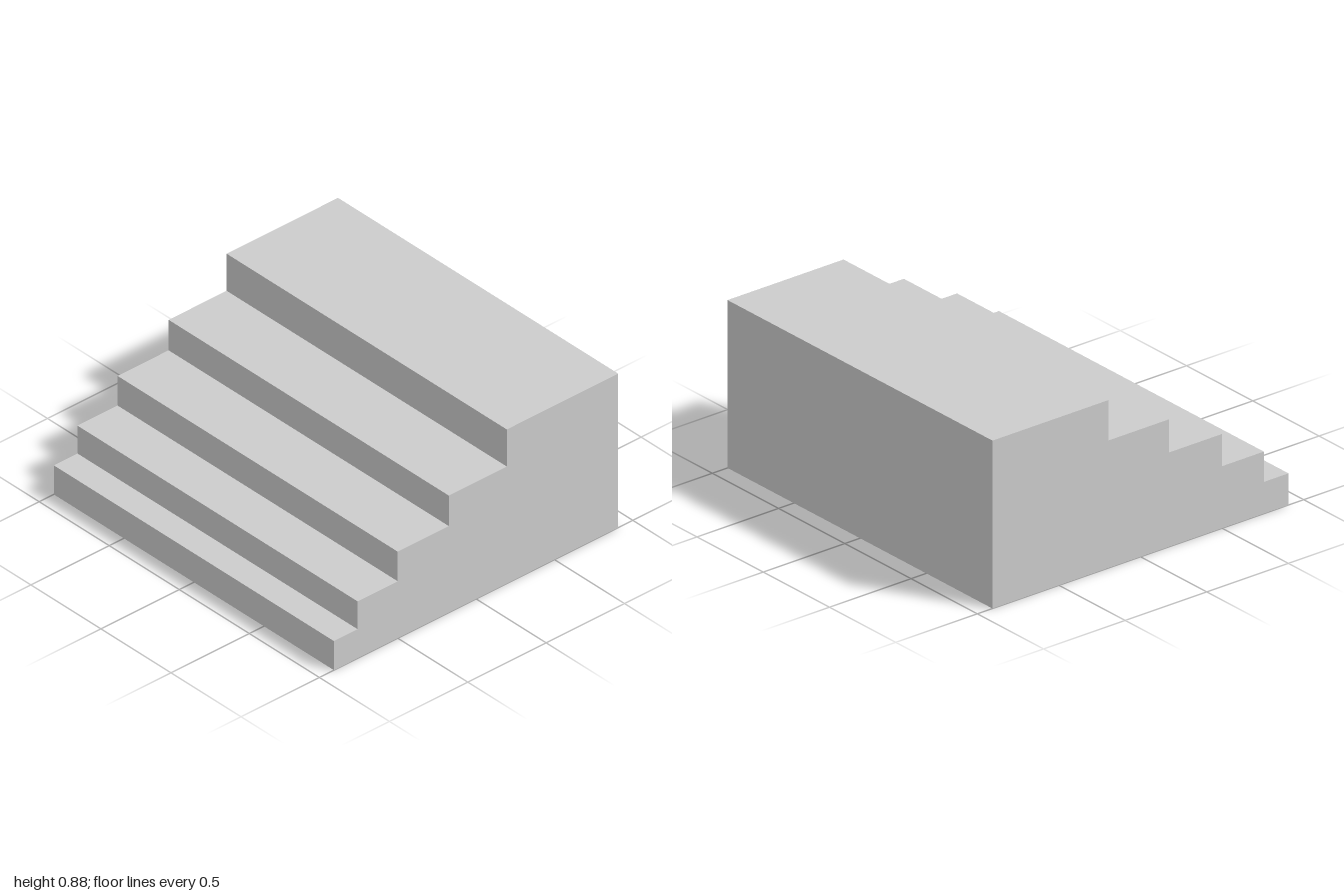
import * as THREE from 'three';

// Each step: z of its riser and height of its tread, front to back
const STEPS = [
  [0.907, 0.167],
  [0.756, 0.327],
  [0.5, 0.497],
  [0.174, 0.672],
  [-0.196, 0.885],
];
const BACK = -0.907;
const WIDTH = 2;

export function createModel() {
  const group = new THREE.Group();
  group.name = 'stairs';

  // Stepped side profile, drawn with -z to the right and y up
  const profile = new THREE.Shape();
  profile.moveTo(-BACK, 0);
  let height = STEPS[STEPS.length - 1][1];
  profile.lineTo(-BACK, height);
  for (let i = STEPS.length - 1; i >= 0; i--) {
    const z = STEPS[i][0];
    height = i > 0 ? STEPS[i - 1][1] : 0;
    profile.lineTo(-z, STEPS[i][1]);
    profile.lineTo(-z, height);
  }
  profile.closePath();

  // Solid flight, extruded across the width
  const geometry = new THREE.ExtrudeGeometry(profile, { depth: WIDTH, bevelEnabled: false });
  geometry.translate(0, 0, -WIDTH / 2);
  geometry.rotateY(Math.PI / 2);

  const material = new THREE.MeshStandardMaterial({ color: 0xcccccc, flatShading: true });
  const flight = new THREE.Mesh(geometry, material);
  flight.name = 'stairFlight';
  group.add(flight);
  return group;
}
